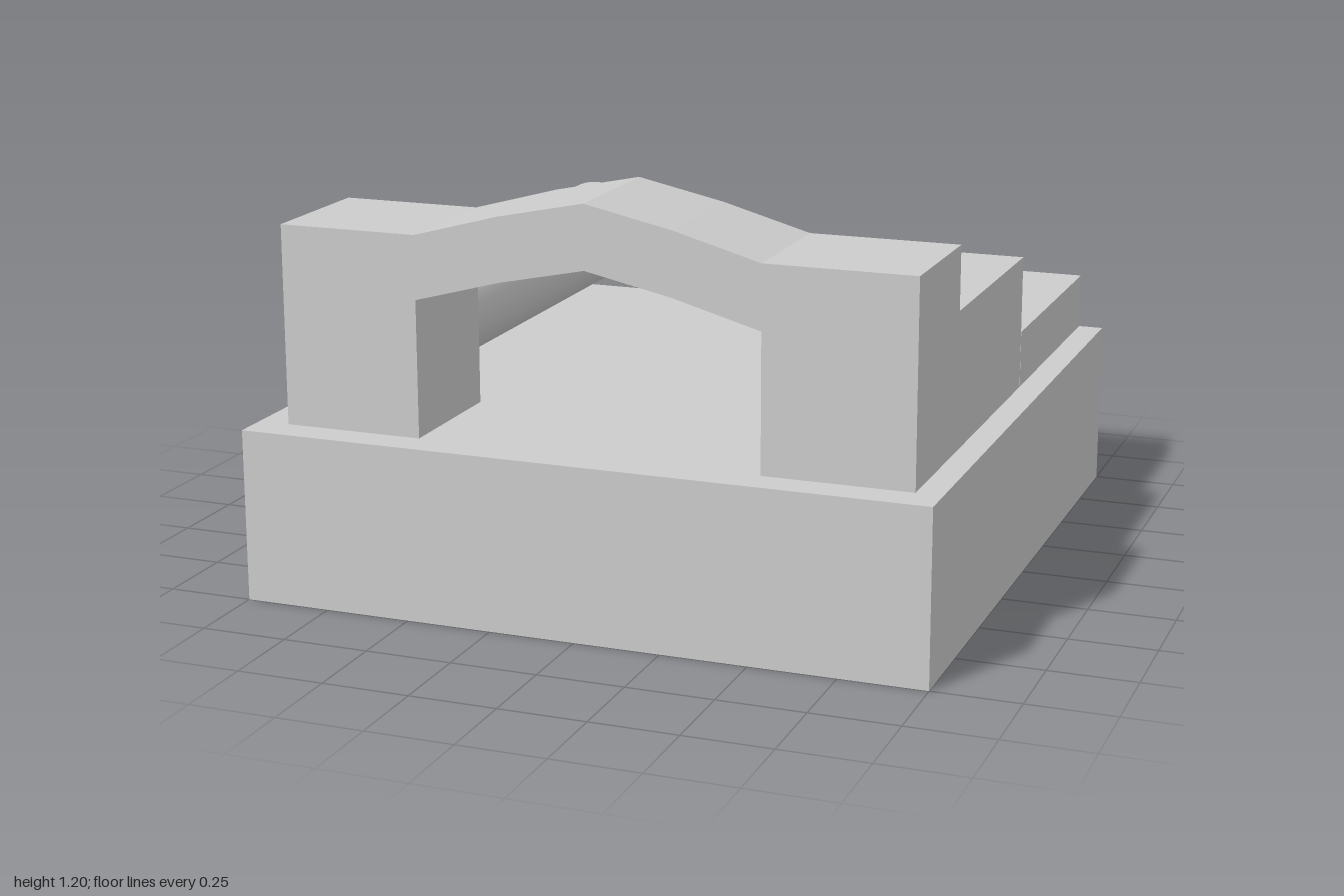
import * as THREE from 'three';

const material = new THREE.MeshStandardMaterial({ color: 0xcccccc, flatShading: true });
const smooth = new THREE.MeshStandardMaterial({ color: 0xcccccc });

// Extrudes an x/y outline from z0 to z1
function slab(name, points, z0, z1) {
  const shape = new THREE.Shape(points.map(([x, y]) => new THREE.Vector2(x, y)));
  const geometry = new THREE.ExtrudeGeometry(shape, { depth: z1 - z0, bevelEnabled: false });
  geometry.translate(0, 0, z0);
  const mesh = new THREE.Mesh(geometry, material);
  mesh.name = name;
  return mesh;
}

function box(name, [x0, x1], [y0, y1], [z0, z1]) {
  const mesh = new THREE.Mesh(new THREE.BoxGeometry(x1 - x0, y1 - y0, z1 - z0), material);
  mesh.position.set((x0 + x1) / 2, (y0 + y1) / 2, (z0 + z1) / 2);
  mesh.name = name;
  return mesh;
}

export function createModel() {
  const group = new THREE.Group();
  const floor = 0.5, left = 0.925, right = -0.908;

  // Square base
  group.add(box('base', [-1, 1], [0, floor], [-1, 1]));

  // Gate across the front, with a bent beam of constant thickness
  const beam = [[-0.5, 0.893], [-0.25, 0.962], [0, 1.015], [0.25, 0.962], [0.5, 0.893]];
  const beamTop = beam.map(([x, y]) => [x, y + 0.182]).reverse();
  group.add(slab('archway', [
    [right, floor], [-0.5, floor], ...beam, [0.5, floor], [left, floor],
    [left, 1.075], ...beamTop, [right, 1.075],
  ], 0.5, 0.9));

  // Raised step behind the left post
  group.add(box('sideBlock', [0.5, left], [floor, 0.893], [-0.207, 0.5]));

  // Low platform at the back with a slope towards the middle
  group.add(slab('ramp', [[0.165, floor], [left, floor], [left, 0.667], [0.5, 0.667]], -1, -0.21));

  // Horizontal pole held by the right post
  const pole = new THREE.Mesh(new THREE.CylinderGeometry(0.158, 0.158, 1.4, 48), smooth);
  pole.rotation.x = Math.PI / 2;
  pole.position.set(-0.712, 0.722, -0.2);
  pole.name = 'pole';
  group.add(pole);

  return group;
}
